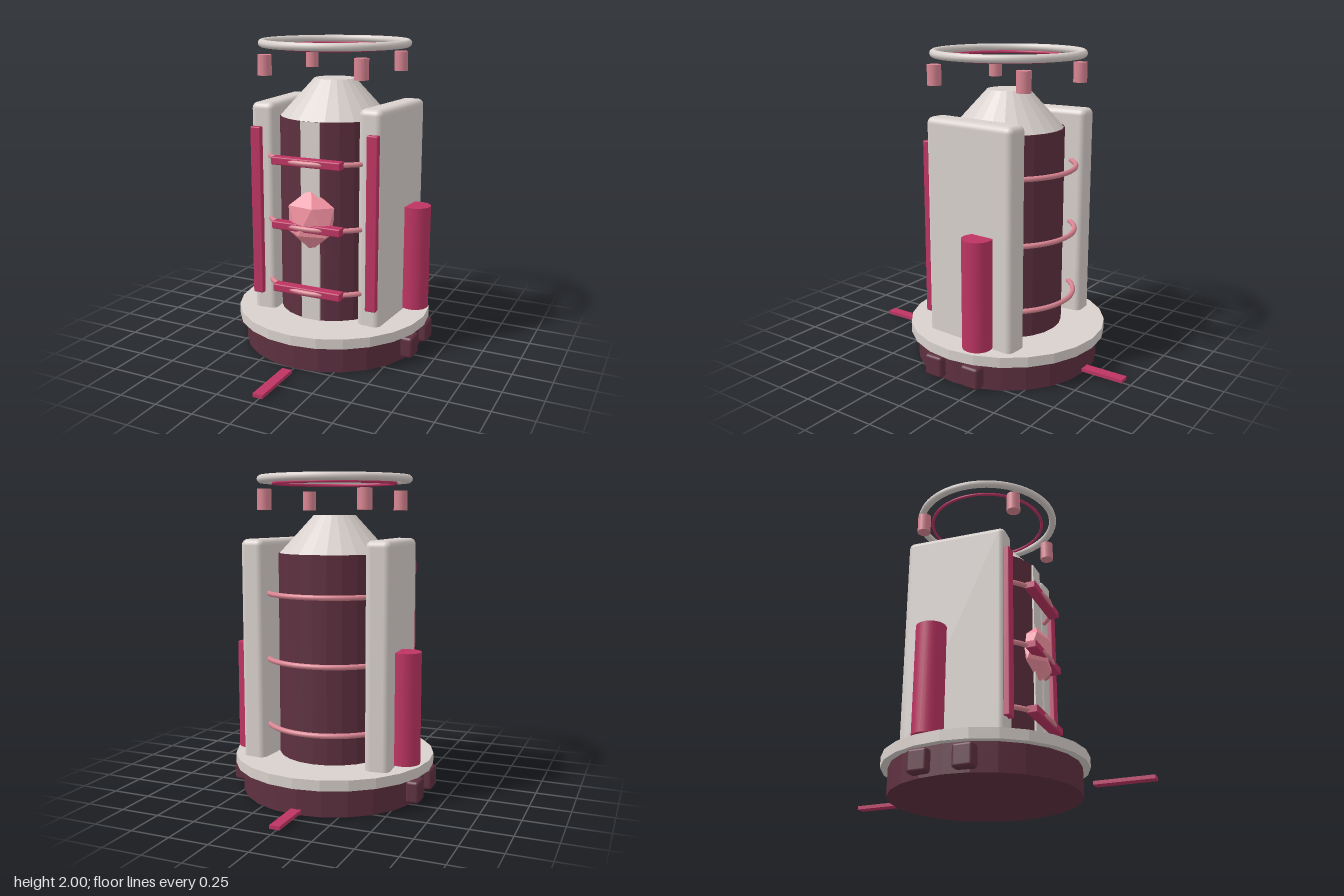
import * as THREE from 'three';
import { RoundedBoxGeometry } from 'three/addons/geometries/RoundedBoxGeometry.js';

const mat = (color, flatShading = false) => new THREE.MeshStandardMaterial({ color, flatShading });
const CREAM = 0xd8d0cc, DARK = 0x5e3040, RED = 0xbc3462, PINK = 0xd98592, CRYSTAL = 0xf493a2;

export function createModel() {
  const model = new THREE.Group();
  // everything round shares one axis, set slightly back
  const axisZ = -0.085;

  const add = (parent, name, geometry, color, x, y, z, flat = false) => {
    const mesh = new THREE.Mesh(geometry, mat(color, flat));
    mesh.name = name;
    mesh.position.set(x, y, z);
    parent.add(mesh);
    return mesh;
  };
  const drum = (name, rTop, rBottom, y0, y1, color) =>
    add(model, name, new THREE.CylinderGeometry(rTop, rBottom, y1 - y0, 24), color, 0, (y0 + y1) / 2, axisZ, true);
  const hoop = (name, radius, tube, y, color) =>
    add(model, name, new THREE.TorusGeometry(radius, tube, 10, 64).rotateX(Math.PI / 2), color, 0, y, axisZ);

  // base, body and roof
  drum('basePlinth', 0.593, 0.593, 0, 0.175, DARK);
  drum('baseDisc', 0.64, 0.64, 0.175, 0.24, CREAM);
  drum('body', 0.355, 0.355, 0.24, 1.52, DARK);
  drum('roofCone', 0.132, 0.348, 1.52, 1.755, CREAM);
  add(model, 'frontStrip', new THREE.BoxGeometry(0.128, 1.28, 0.05), CREAM, 0, 0.88, 0.248);

  // hoops around the body, each with a bar at the front
  for (const y of [0.445, 0.863, 1.275]) {
    hoop('bodyHoop', 0.43, 0.016, y, PINK);
    add(model, 'frontBar', new RoundedBoxGeometry(0.47, 0.05, 0.07, 2, 0.008), RED, 0, y, 0.31);
  }

  // crystal standing on one of its points
  const crystal = new THREE.IcosahedronGeometry(1, 0).rotateZ(-Math.atan(2 / (1 + Math.sqrt(5))));
  crystal.scale(0.178, 0.203, 0.105);
  add(model, 'crystal', crystal, CRYSTAL, 0, 0.903, 0.258, true);

  // mirrored side parts
  for (const s of [-1, 1]) {
    const side = new THREE.Group();
    side.name = s > 0 ? 'leftSide' : 'rightSide';
    model.add(side);

    const panel = add(side, 'sidePanel', new RoundedBoxGeometry(0.155, 1.41, 0.655, 4, 0.04), CREAM, s * 0.39, 0.905, -0.11);
    panel.rotation.y = -s * 0.07;
    add(side, 'panelLight', new RoundedBoxGeometry(0.072, 1.11, 0.044, 2, 0.008), RED, s * 0.4, 0.905, 0.228);
    add(side, 'sideCanister', new THREE.CylinderGeometry(0.093, 0.093, 0.69, 32), RED, s * 0.525, 0.597, -0.22);

    for (const z of [0.047, -0.228]) {
      add(side, 'baseBlock', new RoundedBoxGeometry(0.085, 0.14, 0.128, 3, 0.02), DARK, s * 0.592, 0.088, z);
    }
    // floor strips in front and behind
    add(model, 'floorStrip', new THREE.BoxGeometry(0.066, 0.022, 0.36), RED, 0, 0.024, s * 0.776);
  }

  // floating halo with four hanging lamps
  hoop('haloRing', 0.46, 0.025, 1.975, CREAM);
  hoop('haloInnerRing', 0.382, 0.01, 1.95, RED);
  for (const sx of [-1, 1]) {
    for (const sz of [-1, 1]) {
      add(model, 'haloLamp', new THREE.CylinderGeometry(0.044, 0.044, 0.126, 20), PINK, sx * 0.325, 1.848, axisZ + sz * 0.325);
    }
  }
  return model;
}
